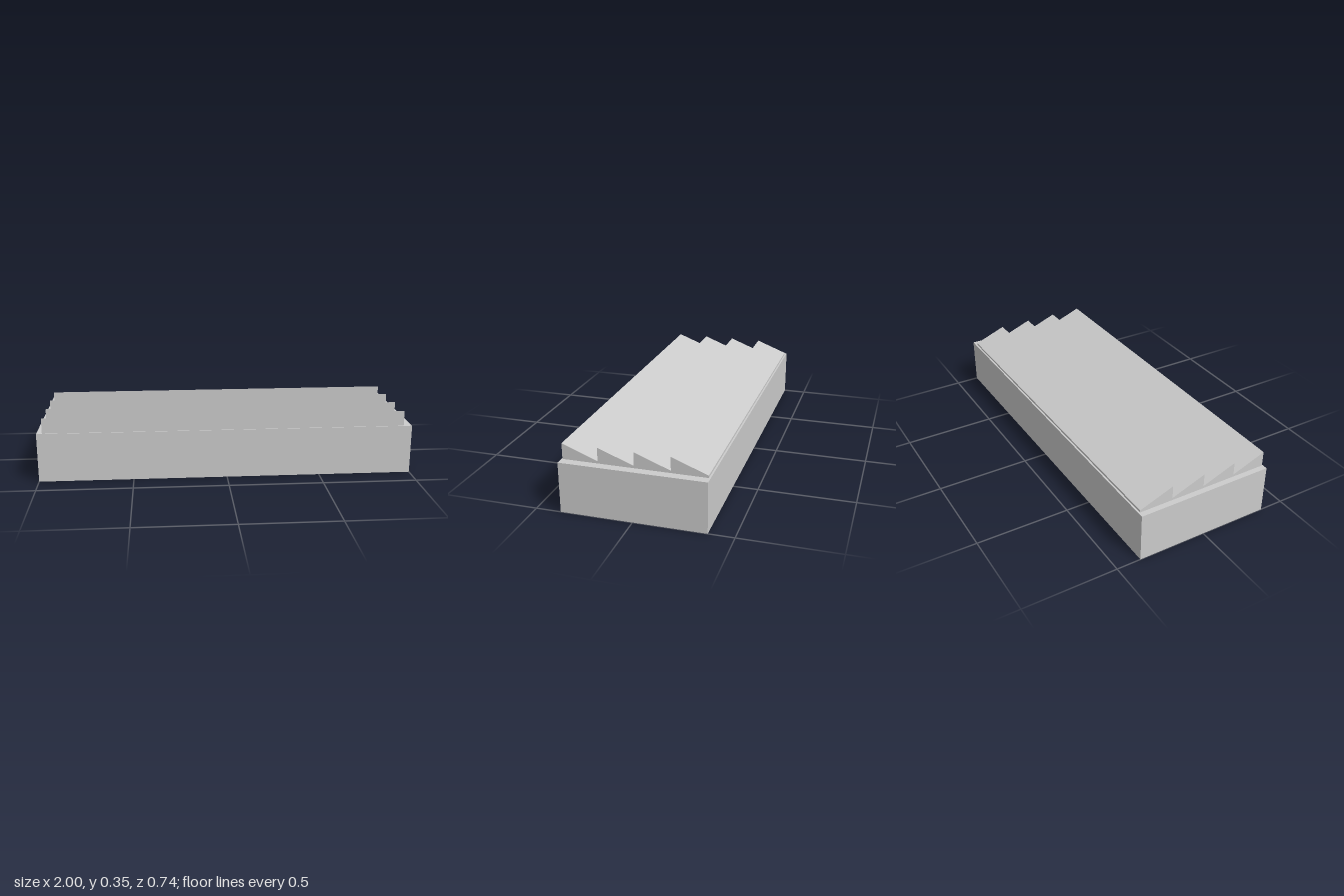
import * as THREE from 'three';

const H = 0.264; // height of the base walls
const material = new THREE.MeshStandardMaterial({ color: 0xcccccc, flatShading: true });

function rectPath(PathType, halfX, halfY) {
  return new PathType([
    new THREE.Vector2(-halfX, -halfY), new THREE.Vector2(halfX, -halfY),
    new THREE.Vector2(halfX, halfY), new THREE.Vector2(-halfX, halfY),
  ]);
}

function addPart(group, name, geometry) {
  const mesh = new THREE.Mesh(geometry, material);
  mesh.name = name;
  group.add(mesh);
}

export function createModel() {
  const group = new THREE.Group();
  group.name = 'sawtoothRoofBlock';

  // Walls: open underneath, thick at the ends and thin along the sides
  const outline = rectPath(THREE.Shape, 1, 0.37);
  outline.holes.push(rectPath(THREE.Path, 0.935, 0.362));
  const walls = new THREE.ExtrudeGeometry(outline, { depth: H, bevelEnabled: false });
  walls.rotateX(-Math.PI / 2);
  addPart(group, 'walls', walls);

  // Thin ceiling set between the walls
  const ceiling = new THREE.BoxGeometry(1.87, 0.006, 0.724);
  ceiling.translate(0, H - 0.003, 0);
  addPart(group, 'ceiling', ceiling);

  // Roof: four teeth, steep to the front and sloping to the back
  const teeth = 4, front = 0.365, pitch = 0.1815, peak = 0.346, valley = 0.276;
  const profile = new THREE.Shape();
  profile.moveTo(front, H);
  for (let i = 0; i < teeth; i++) {
    profile.lineTo(front - i * pitch, peak);
    profile.lineTo(front - (i + 1) * pitch, valley);
  }
  profile.lineTo(front - teeth * pitch, H);
  profile.closePath();
  const roof = new THREE.ExtrudeGeometry(profile, { depth: 1.925, bevelEnabled: false });
  roof.rotateY(-Math.PI / 2);
  roof.translate(0.955, 0, 0);
  addPart(group, 'sawtoothRoof', roof);

  return group;
}
